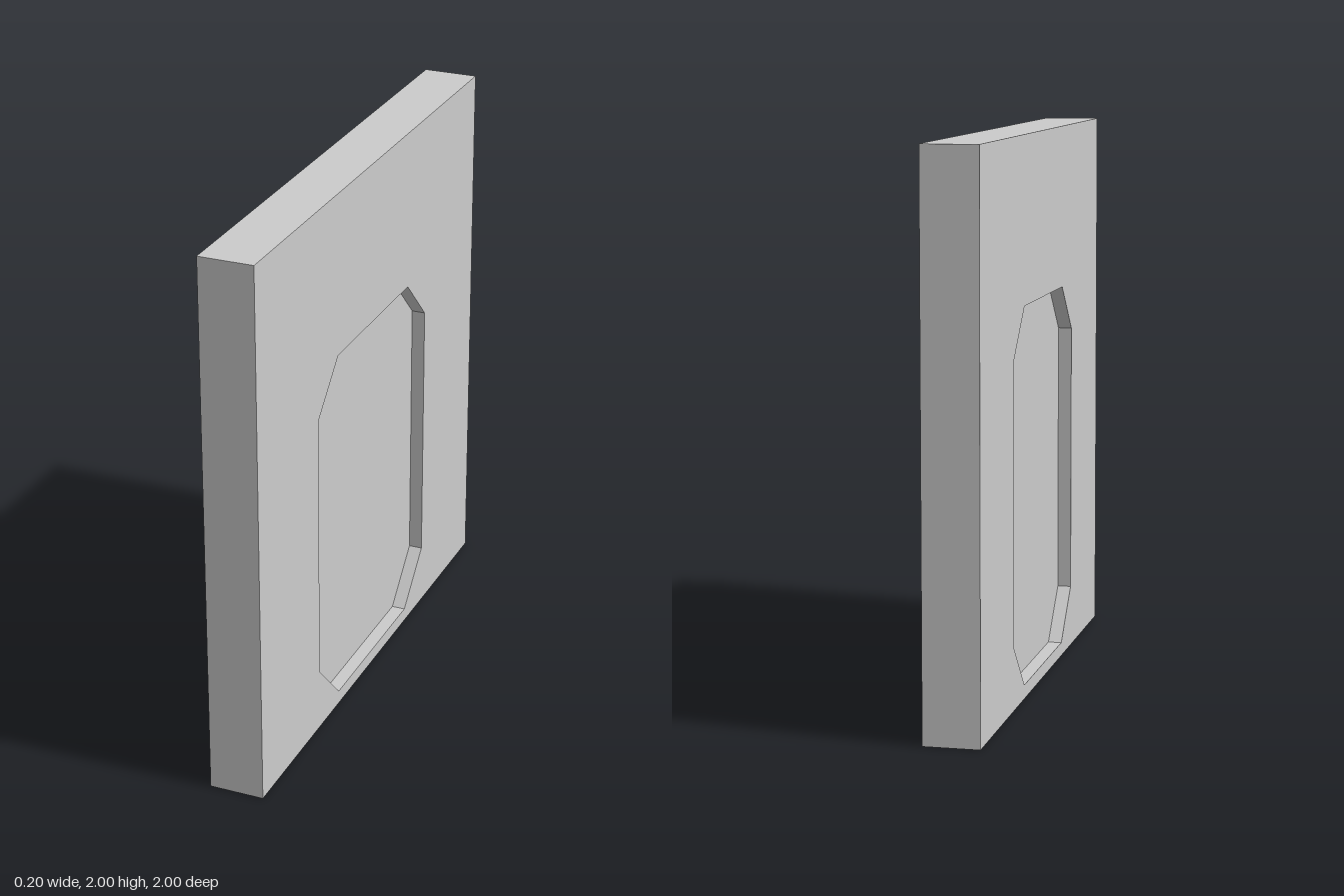
import * as THREE from 'three';

const material = new THREE.MeshStandardMaterial({ color: 0xcccccc, flatShading: true });

// Octagonal doorway outline: a rectangle with clipped corners
function doorwayPoints() {
  const w = 0.5, inner = 0.325;
  return [
    [-inner, 0.05], [inner, 0.05], [w, 0.23], [w, 1.23],
    [inner, 1.405], [-inner, 1.405], [-w, 1.23], [-w, 0.23],
  ].map(([x, y]) => new THREE.Vector2(x, y));
}

// Extrude a shape to a thickness centred on x = 0, with its width along z
function slab(shape, thickness, name) {
  const geometry = new THREE.ExtrudeGeometry(shape, { depth: thickness, bevelEnabled: false });
  geometry.translate(0, 0, -thickness / 2);
  geometry.rotateY(-Math.PI / 2);
  const mesh = new THREE.Mesh(geometry, material);
  mesh.name = name;
  return mesh;
}

export function createModel() {
  const model = new THREE.Group();
  model.name = 'wallWithDoor';

  // Square wall with the doorway cut through it
  const wall = new THREE.Shape([[-1, 0], [1, 0], [1, 2], [-1, 2]].map(([x, y]) => new THREE.Vector2(x, y)));
  wall.holes.push(new THREE.Path(doorwayPoints().reverse()));
  model.add(slab(wall, 0.2, 'wall'));

  // Thinner door panel, recessed on both sides
  model.add(slab(new THREE.Shape(doorwayPoints()), 0.1, 'doorPanel'));

  return model;
}
